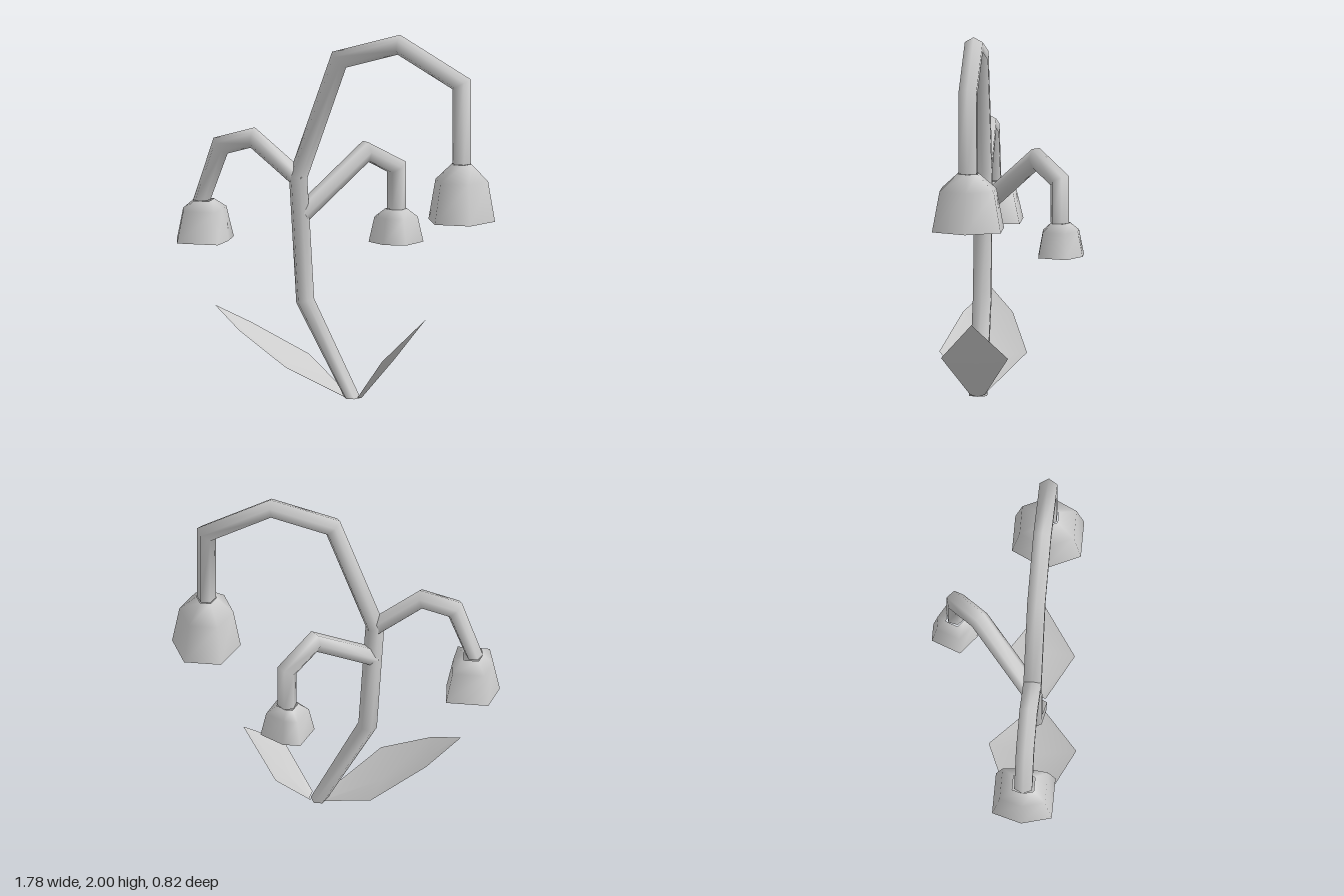
import * as THREE from 'three';

const Z = 0.17; // plane of the main stem
const V = (x, y, z = Z) => new THREE.Vector3(x, y, z);
const material = new THREE.MeshStandardMaterial({ color: 0xcccccc, side: THREE.DoubleSide });

// Skin a list of equally sized rings of points
function loft(name, rings, closed = true) {
  const n = rings[0].length;
  const index = [];
  for (let r = 0; r < rings.length - 1; r++) {
    for (let i = 0; i < (closed ? n : n - 1); i++) {
      const a = r * n + i, b = r * n + (i + 1) % n;
      index.push(a, b, b + n, a, b + n, a + n);
    }
  }
  const geometry = new THREE.BufferGeometry().setFromPoints(rings.flat());
  geometry.setIndex(index);
  geometry.computeVertexNormals();
  const mesh = new THREE.Mesh(geometry, material);
  mesh.name = name;
  return mesh;
}

// Six-sided mitred tube along a path lying in one upright plane
function stalk(name, path, { turn = 0, flatBase = false } = {}) {
  const last = path.length - 1;
  const across = path[last].clone().sub(path[0]).setY(0).normalize().cross(V(0, 1, 0)).normalize();
  const rings = path.map((p, k) => {
    const into = p.clone().sub(path[Math.max(k - 1, 0)]).normalize();
    const out = path[Math.min(k + 1, last)].clone().sub(p).normalize();
    const tangent = into.clone().add(out).normalize();
    const mitre = 1 / tangent.dot(k < last ? out : into);
    const side = across.clone().cross(tangent);
    return Array.from({ length: 6 }, (_, i) => {
      const a = i * Math.PI / 3 + turn;
      const q = p.clone()
        .addScaledVector(side, Math.cos(a) * 0.051 * mitre)
        .addScaledVector(across, Math.sin(a) * 0.056);
      if (k === last || (k === 0 && flatBase)) q.y = p.y; // level cut
      return q;
    });
  });
  return loft(name, rings);
}

// Open bell flower: rim corners are scaled in towards the shoulder and neck
function bell(name, neck, corners, levels) {
  return loft(name, levels.map(([y, s]) =>
    corners.map(([x, z]) => V(neck.x + x * s, y, neck.z + z * s))));
}

// Folded leaf: each row is [edge x, edge y, rib x, rib y, half width]
function leaf(name, rows) {
  return loft(name, rows.map(([x, y, ribX, ribY, w]) =>
    [V(x, y, Z - w), V(ribX, ribY), V(x, y, Z + w)]), false);
}

export function createModel() {
  const group = new THREE.Group();

  // Stem and its two side branches
  group.add(
    stalk('mainStem', [V(0.09, 0), V(-0.175, 0.52), V(-0.215, 1.2), V(0.015, 1.85),
      V(0.35, 1.947), V(0.703, 1.745), V(0.703, 1.31)], { flatBase: true }),
    stalk('leftBranch', [V(-0.2, 1.18), V(-0.47, 1.402), V(-0.65, 1.35), V(-0.755, 1.05)]),
    stalk('backBranch', [V(-0.2, 0.99), V(0.08, 1.302, -0.145), V(0.212, 1.2, -0.285),
      V(0.212, 0.97, -0.285)], { turn: Math.PI / 6 })
  );

  // Hanging flowers
  group.add(
    bell('largeFlower', V(0.703, 0),
      [[0.187, 0], [0.1, -0.187], [-0.1, -0.187], [-0.187, 0], [-0.1, 0.187], [0.1, 0.187]],
      [[1.0, 1], [1.22, 0.79], [1.31, 0.29]]),
    bell('leftFlower', V(-0.75, 0),
      [[0.145, 0], [0.13, -0.162], [-0.1, -0.162], [-0.145, 0], [-0.1, 0.162], [0.13, 0.162]],
      [[0.83, 1], [1.0, 0.76], [1.05, 0.36]]),
    bell('backFlower', V(0.209, 0, -0.287),
      [[0.141, -0.046], [0.011, -0.122], [-0.084, -0.122], [-0.144, 0.037], [-0.039, 0.122], [0.086, 0.112]],
      [[0.787, 1], [0.925, 0.79], [0.97, 0.4]])
  );

  // Leaves at the foot
  group.add(
    leaf('longLeaf', [
      [0.06, 0.01, 0.05, 0, 0.04], [-0.22, 0.19, -0.25, 0.15, 0.238],
      [-0.51, 0.365, -0.51, 0.335, 0.135], [-0.68, 0.475, -0.68, 0.475, 0.002]]),
    leaf('shortLeaf', [
      [0.13, 0.01, 0.14, 0, 0.04], [0.305, 0.235, 0.325, 0.22, 0.182],
      [0.5, 0.445, 0.5, 0.445, 0.002]])
  );
  return group;
}
